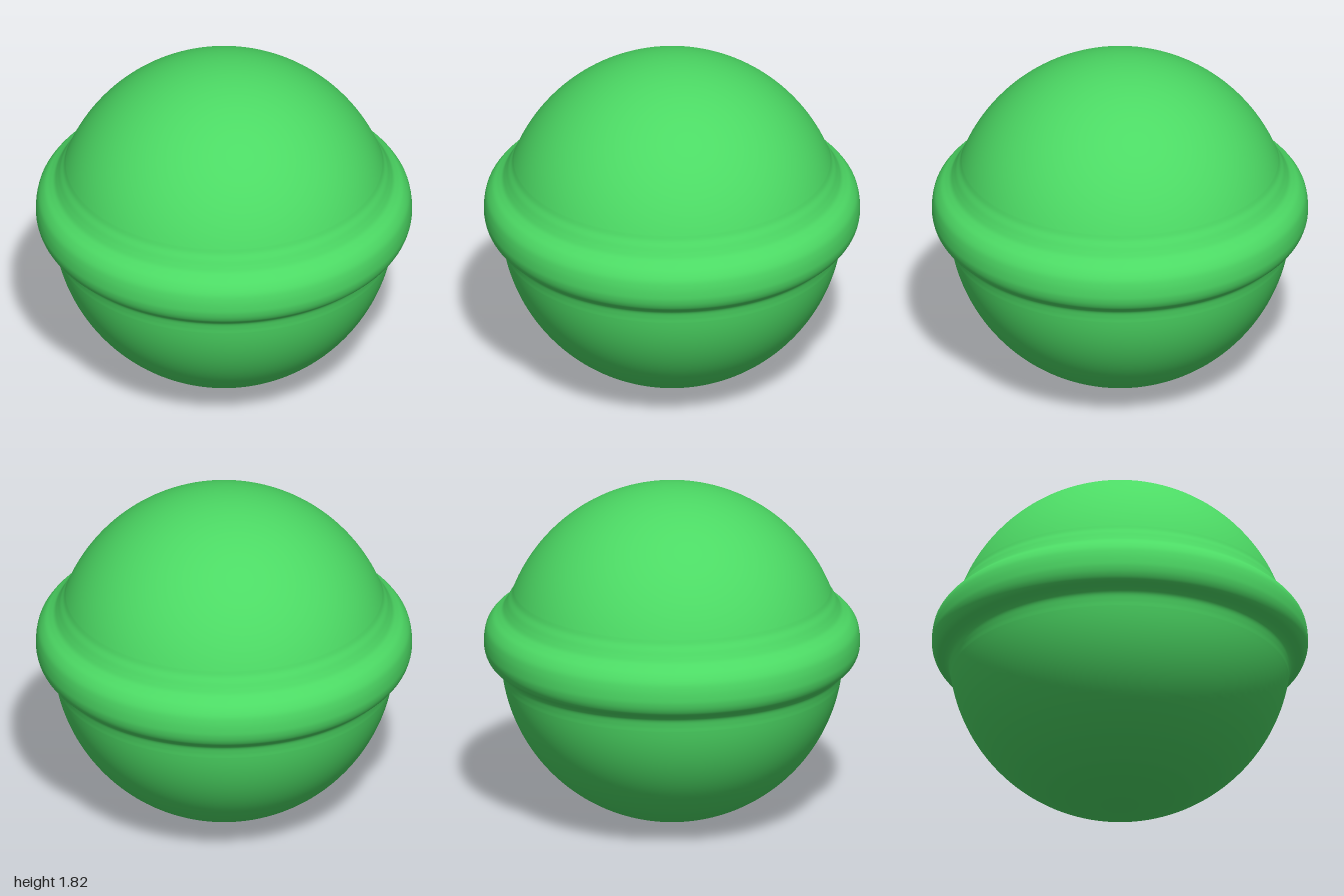
import * as THREE from 'three';

const R = 0.91; // sphere radius, also the height of its centre

// Points along the sphere outline between two latitudes
function arc(from, to, steps) {
  const pts = [];
  for (let i = 0; i <= steps; i++) {
    const a = from + ((to - from) * i) / steps;
    pts.push(new THREE.Vector3(Math.max(0, R * Math.cos(a)), R + R * Math.sin(a), 0));
  }
  return pts;
}

export function createModel() {
  const group = new THREE.Group();
  const material = new THREE.MeshStandardMaterial({ color: 0x4cd964 });

  // Lower and upper domes
  const low = Math.asin((0.79 - R) / R);
  const high = Math.asin((1.23 - R) / R);
  const bottom = arc(-Math.PI / 2, low, 40);
  const top = arc(high, Math.PI / 2, 36);

  // Rounded belt that blends into both domes
  const belt = [
    [0.911, 0.825], [0.926, 0.845], [0.948, 0.862], [0.973, 0.881], [0.99, 0.91],
    [0.999, 0.945], [1, 0.975], [0.996, 1.02], [0.985, 1.06], [0.957, 1.1],
    [0.925, 1.125], [0.902, 1.145], [0.885, 1.172], [0.87, 1.2],
  ].map(([r, y]) => new THREE.Vector3(r, y, 0));
  const blend = new THREE.CatmullRomCurve3(
    [...bottom.slice(-2), ...belt, ...top.slice(0, 2)], false, 'centripetal',
  ).getPoints(102);

  // One smooth turned body
  const profile = [...bottom.slice(0, -2), ...blend, ...top.slice(2)];
  const body = new THREE.Mesh(
    new THREE.LatheGeometry(profile.map((p) => new THREE.Vector2(p.x, p.y)), 128),
    material,
  );
  body.name = 'beltedSphere';
  group.add(body);
  return group;
}
